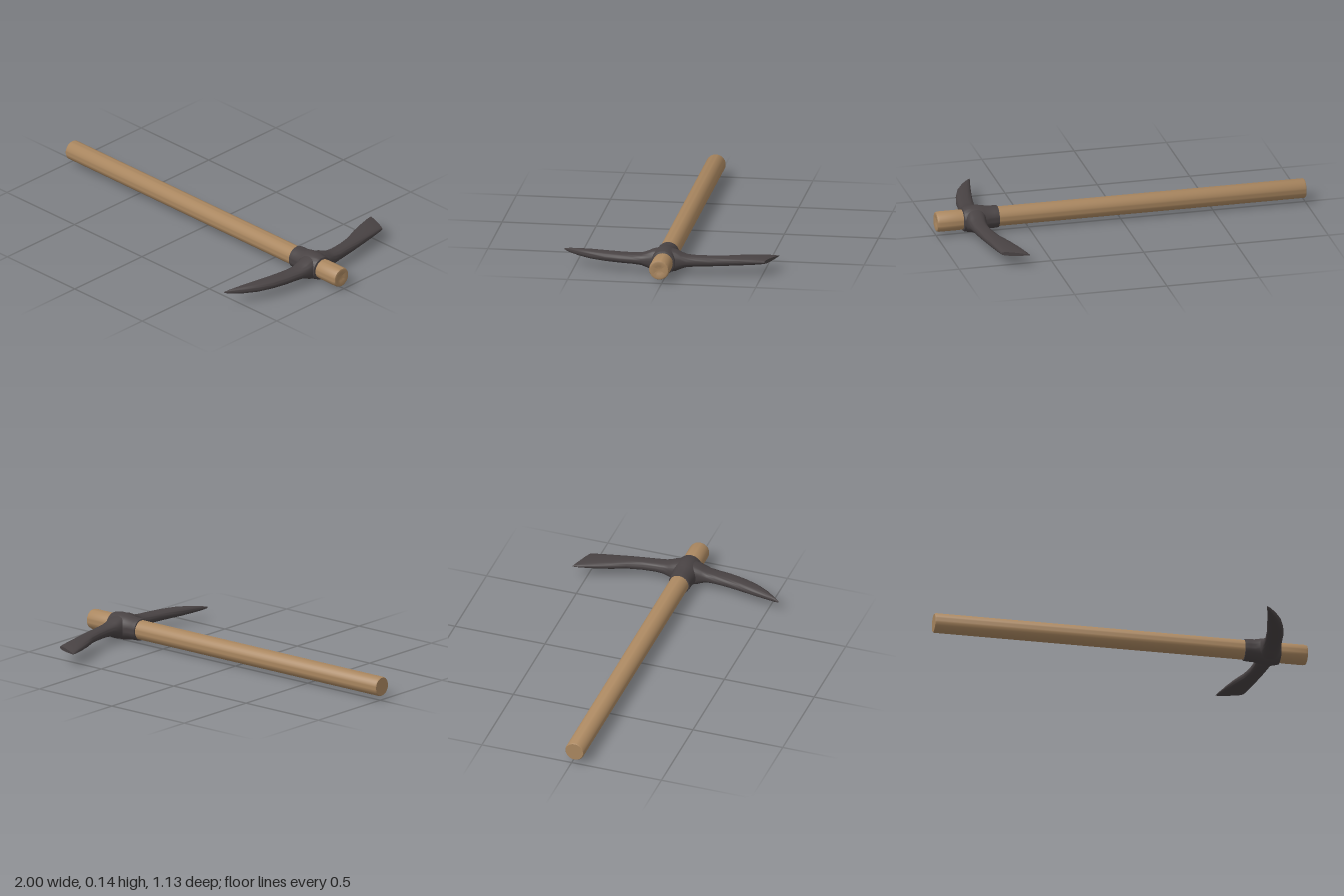
import * as THREE from 'three';
import { toCreasedNormals } from 'three/addons/utils/BufferGeometryUtils.js';

const wood = new THREE.MeshStandardMaterial({ color: 0xaa8760 });
wood.name = 'wood';
const iron = new THREE.MeshStandardMaterial({ color: 0x484243 });
iron.name = 'iron';

const AXIS_Y = 0.073, AXIS_Z = 0.015;

// Surface turned around the handle axis; profile points are [radius, x]
function turned(name, profile, material) {
  const geo = new THREE.LatheGeometry(profile.map(([r, x]) => new THREE.Vector2(r, x)), 40);
  geo.rotateZ(-Math.PI / 2);
  const mesh = new THREE.Mesh(toCreasedNormals(geo, 0.7), material);
  mesh.name = name;
  mesh.position.set(0, AXIS_Y, AXIS_Z);
  return mesh;
}

// Loft through rounded cross-sections [xA, zA, xB, zB, halfHeightA, halfHeightB]
function loft(name, sections, material, sides = 28) {
  const pos = [], index = [];
  const pw = (v, p) => Math.sign(v) * Math.abs(v) ** p;
  for (const [xa, za, xb, zb, ha, hb] of sections) {
    for (let j = 0; j < sides; j++) {
      const t = (j / sides) * Math.PI * 2;
      const u = (pw(Math.cos(t), 0.75) + 1) / 2;
      const h = ha + (hb - ha) * u;
      pos.push(xa + (xb - xa) * u, AXIS_Y + h * pw(Math.sin(t), 0.8), za + (zb - za) * u);
    }
  }
  const last = (sections.length - 1) * sides;
  for (let i = 0; i < last; i += sides) {
    for (let j = 0; j < sides; j++) {
      const k = (j + 1) % sides;
      index.push(i + j, i + k, i + sides + k, i + j, i + sides + k, i + sides + j);
    }
  }
  // End caps
  for (let j = 1; j < sides - 1; j++) {
    index.push(0, j + 1, j, last, last + j, last + j + 1);
  }
  const geo = new THREE.BufferGeometry();
  geo.setAttribute('position', new THREE.Float32BufferAttribute(pos, 3));
  geo.setIndex(index);
  const mesh = new THREE.Mesh(toCreasedNormals(geo, 0.8), material);
  mesh.name = name;
  return mesh;
}

export function createModel() {
  const group = new THREE.Group();
  group.name = 'pickaxe';

  // Straight round shaft with softened rims and a slightly dented head end
  group.add(turned('handle', [
    [0, -1], [0.048, -1], [0.052, -0.994], [0.052, 0.85],
    [0.054, 0.88], [0.054, 0.985], [0.05, 0.997], [0.042, 1], [0.022, 0.993], [0, 0.991],
  ], wood));

  // Collar and swollen eye around the shaft
  group.add(turned('eyeSocket', [
    [0.05, 0.662], [0.058, 0.664], [0.06, 0.69], [0.06, 0.715], [0.066, 0.745],
    [0.071, 0.775], [0.071, 0.81], [0.067, 0.835], [0.062, 0.853], [0.05, 0.857],
  ], iron));

  // Flared, slanted blade at the back
  group.add(loft('blade', [
    [0.632, -0.57, 0.775, -0.512, 0.004, 0.013],
    [0.642, -0.53, 0.779, -0.49, 0.013, 0.017],
    [0.663, -0.46, 0.788, -0.44, 0.019, 0.021],
    [0.69, -0.38, 0.799, -0.38, 0.022, 0.022],
    [0.725, -0.3, 0.812, -0.3, 0.024, 0.024],
    [0.744, -0.22, 0.824, -0.22, 0.026, 0.026],
    [0.752, -0.15, 0.833, -0.15, 0.028, 0.028],
    [0.751, -0.105, 0.838, -0.105, 0.032, 0.032],
    [0.746, -0.075, 0.843, -0.075, 0.042, 0.042],
    [0.738, -0.045, 0.847, -0.045, 0.056, 0.056],
    [0.735, 0.015, 0.85, 0.015, 0.068, 0.068],
  ], iron));

  // Curved pick point at the front
  group.add(loft('pickPoint', [
    [0.735, 0.015, 0.85, 0.015, 0.068, 0.068],
    [0.738, 0.075, 0.849, 0.075, 0.056, 0.056],
    [0.745, 0.105, 0.845, 0.105, 0.042, 0.042],
    [0.748, 0.135, 0.841, 0.135, 0.031, 0.031],
    [0.746, 0.18, 0.836, 0.18, 0.027, 0.027],
    [0.738, 0.25, 0.828, 0.25, 0.026, 0.026],
    [0.724, 0.33, 0.81, 0.33, 0.025, 0.025],
    [0.708, 0.41, 0.782, 0.41, 0.023, 0.023],
    [0.694, 0.48, 0.743, 0.48, 0.018, 0.018],
    [0.682, 0.535, 0.703, 0.535, 0.011, 0.011],
    [0.675, 0.565, 0.68, 0.562, 0.004, 0.004],
  ], iron));

  return group;
}
